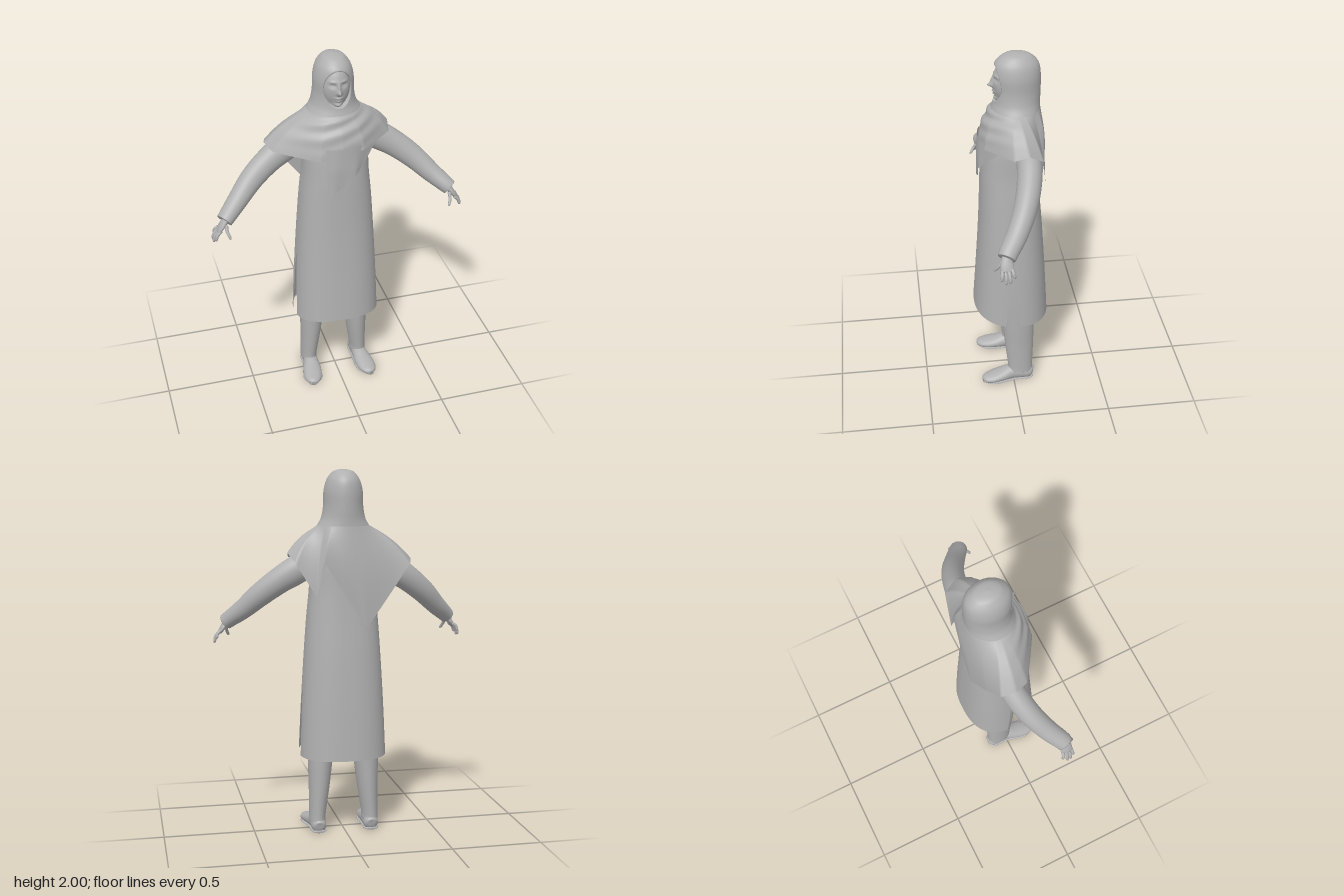
import * as THREE from 'three';
import { mergeVertices } from 'three/addons/utils/BufferGeometryUtils.js';

const grey = new THREE.MeshStandardMaterial({ color: 0xb0b0b0, side: THREE.DoubleSide });
grey.name = 'plainGrey';

// Smooth spline through rows of numbers, t in 0..1
function spline(rows, t) {
  const n = rows.length - 1, s = Math.min(t, 1) * n, i = Math.min(Math.floor(s), n - 1), f = s - i;
  const a = rows[Math.max(i - 1, 0)], b = rows[i], c = rows[i + 1], d = rows[Math.min(i + 2, n)];
  return b.map((_, k) => b[k] + 0.5 * f * (c[k] - a[k] + f * (2 * a[k] - 5 * b[k] + 4 * c[k] - d[k]
    + f * (3 * (b[k] - c[k]) + d[k] - a[k]))));
}

// Grid surface from fn(u, v) -> [x, y, z]; faces along du x dv
function surface(nu, nv, fn) {
  const pos = [], idx = [];
  for (let j = 0; j <= nv; j++) for (let i = 0; i <= nu; i++) pos.push(...fn(i / nu, j / nv));
  for (let j = 0; j < nv; j++) for (let i = 0; i < nu; i++) {
    const a = j * (nu + 1) + i, c = a + nu + 1;
    idx.push(a, a + 1, c, a + 1, c + 1, c);
  }
  let g = new THREE.BufferGeometry();
  g.setAttribute('position', new THREE.Float32BufferAttribute(pos, 3));
  g.setIndex(idx);
  g = mergeVertices(g, 1e-5);
  g.computeVertexNormals();
  return g;
}

// Closed tube through [x, y, z, radiusAlongRef, radiusAcross]
function loft(rows, ref, nu = 24, nv = 24, side = 1, floor = -1) {
  const at = (t) => { const r = spline(rows, t); return new THREE.Vector3(r[0] * side, r[1], r[2]); };
  return surface(nu, nv + 2, (u, v) => {
    const j = Math.round(v * (nv + 2)) - 1;
    const t = Math.min(Math.max(j / nv, 0), 1), open = j < 0 || j > nv ? 0 : 1;
    const c = at(t), r = spline(rows, t), a = u === 1 ? 0 : u * Math.PI * 2;
    const T = at(Math.min(t + 0.01, 1)).sub(at(Math.max(t - 0.01, 0))).normalize();
    const A = ref.clone().addScaledVector(T, -ref.dot(T)).normalize();
    const B = new THREE.Vector3().crossVectors(T, A);
    c.addScaledVector(A, Math.cos(a) * r[3] * open).addScaledVector(B, Math.sin(a) * r[4] * open);
    return [c.x, Math.max(c.y, floor), c.z];
  });
}

// Point on a rounded-square ring with separate front and back depth
function ring(a, w, f, b, p) {
  const c = Math.cos(a), s = Math.sin(a);
  return [Math.sign(c) * Math.abs(c) ** p * w, (s > 0 ? f : b) * Math.abs(s) ** p];
}

const X = new THREE.Vector3(1, 0, 0), Z = new THREE.Vector3(0, 0, 1);

// Rows: height, half width, front z, back z
const TUNIC = [
  [1.66, 0.08, 0.07, -0.1], [1.6, 0.15, 0.11, -0.125], [1.5, 0.172, 0.145, -0.14],
  [1.35, 0.18, 0.161, -0.145], [1.2, 0.195, 0.167, -0.155], [1.0, 0.21, 0.175, -0.172],
  [0.7, 0.228, 0.193, -0.192], [0.43, 0.24, 0.21, -0.207],
];
const HOOD = [
  [2, 0, 0, 0], [1.993, 0.04, 0.045, -0.05], [1.978, 0.064, 0.078, -0.085], [1.94, 0.09, 0.112, -0.117],
  [1.88, 0.105, 0.122, -0.128], [1.8, 0.108, 0.115, -0.128], [1.74, 0.12, 0.118, -0.126], [1.7, 0.142, 0.13, -0.126],
];
// Shawl hem: angle in degrees, x, y, z
const HEM = [
  [0, 0.31, 1.56, -0.06], [15, 0.295, 1.53, 0.015], [35, 0.22, 1.525, 0.075], [60, 0.12, 1.515, 0.15],
  [90, 0, 1.495, 0.17], [120, -0.12, 1.48, 0.16], [148, -0.24, 1.49, 0.085], [167, -0.34, 1.5, 0.018],
  [180, -0.37, 1.52, -0.06], [192, -0.35, 1.5, -0.135], [225, -0.24, 1.35, -0.165], [260, -0.1, 1.16, -0.187],
  [285, 0.02, 1.34, -0.18], [305, 0.12, 1.5, -0.165], [322.5, 0.17, 1.33, -0.165], [345, 0.28, 1.51, -0.14],
  [360, 0.31, 1.56, -0.06],
];

function tunicPanel(front) {
  return surface(64, 60, (u, v) => {
    let [y, w, f, b] = spline(TUNIC, v);
    const gap = Math.max(0, 0.82 - y) / 0.39 * (front ? 0.19 : 0.08);
    const a = (front ? 0 : Math.PI) + gap + u * (Math.PI - 2 * gap);
    const [x, z] = ring(a, w, f, b, 0.82);
    if (front) y += 0.04 * Math.sin(a) * Math.max(0, (0.8 - y) / 0.37);
    return [x, y, z];
  });
}

// Head covering with a sunken oval around the face
function hood() {
  return surface(160, 70, (u, v) => {
    const [y, w, f, b] = spline(HOOD, v);
    let [x, z] = ring(u === 1 ? 0 : u * Math.PI * 2, w, f, b, 1);
    z -= 0.03;
    const e = (x / 0.073) ** 2 + ((y - 1.84) / 0.1) ** 2;
    if (z > 0 && e < 1) z -= 0.07 * Math.min(1, (1 - e) * 3);
    return [x, y, z];
  });
}

// Draped cloth from the neck to the pointed hem
function shawl() {
  const [ny, w, f, b] = HOOD[HOOD.length - 1];
  return surface(192, 30, (u, v) => {
    const deg = u * 360, a = u === 1 ? 0 : u * Math.PI * 2;
    let k = 0;
    while (k < HEM.length - 2 && deg > HEM[k + 1][0]) k++;
    const p = HEM[k], q = HEM[k + 1], m = (deg - p[0]) / (q[0] - p[0]);
    const h = [1, 2, 3].map((i) => THREE.MathUtils.lerp(p[i], q[i], m));
    const [x, z] = ring(a, w, f, b, 1);
    const s = Math.sin(a), front = Math.max(0, s);
    const puff = Math.sin(Math.PI * v) * 0.014
      + front * 0.007 * Math.sin(v * 17 + Math.cos(a) * 3) * (1 - v) * Math.min(1, v * 6);
    return [
      THREE.MathUtils.lerp(x, h[0], v) + Math.cos(a) * puff,
      THREE.MathUtils.lerp(ny, h[1], v) + puff * 0.6,
      THREE.MathUtils.lerp(z - 0.03, h[2], v) + s * puff,
    ];
  });
}

// Loose pointed end hanging on the chest
function shawlEnd() {
  const edge = [[-0.08, 1.25], [-0.03, 1.3], [0.05, 1.365], [0.1, 1.41], [0.2, 1.52]];
  return surface(30, 16, (u, v) => {
    const [ex, ey] = spline(edge, u);
    const x = THREE.MathUtils.lerp(-0.09 + 0.29 * u, ex, v);
    const y = THREE.MathUtils.lerp(1.545, ey, v);
    return [x, y, 0.182 - 2.4 * x * x + 0.004 * Math.sin(u * 14) * v - 0.06 * Math.max(0, y - 1.42)];
  });
}

function face() {
  const bump = (x, y, cx, cy, sx, sy) => Math.exp(-(((x - cx) / sx) ** 2) - ((y - cy) / sy) ** 2);
  return surface(96, 80, (u, v) => {
    const a = u === 1 ? 0 : u * Math.PI * 2, t = v * Math.PI;
    const x = 0.076 * Math.sin(t) * Math.cos(a), y = 1.84 + 0.122 * Math.cos(t);
    let z = 0.01 + 0.08 * Math.sin(t) * Math.sin(a);
    if (z > 0.01) {
      z += 0.025 * bump(x, y, 0, 1.826, 0.011, 0.013) + 0.013 * bump(x, y, 0, 1.852, 0.008, 0.025);
      z += 0.011 * bump(x, y, 0, 1.793, 0.02, 0.006) + 0.011 * bump(x, y, 0, 1.778, 0.017, 0.006);
      z += 0.022 * bump(x, y, 0, 1.75, 0.026, 0.016);
      for (const s of [-1, 1]) {
        z -= 0.012 * bump(x, y, s * 0.03, 1.862, 0.016, 0.01);
        z += 0.006 * bump(x, y, s * 0.03, 1.86, 0.01, 0.005) + 0.005 * bump(x, y, s * 0.03, 1.884, 0.02, 0.006);
      }
    }
    return [x, y, z];
  });
}

export function createModel() {
  const group = new THREE.Group();
  group.name = 'womanInHeadscarf';
  const add = (name, geo) => {
    const m = new THREE.Mesh(geo, grey);
    m.name = name;
    group.add(m);
  };

  add('face', face());
  add('hood', hood());
  add('shawl', shawl());
  add('shawlEnd', shawlEnd());
  add('tunicFront', tunicPanel(true));
  add('tunicBack', tunicPanel(false));

  const FINGERS = [
    [0.652, 1.125, 0.122, 0.684, 1.076, 0.127], [0.662, 1.12, 0.106, 0.694, 1.06, 0.107],
    [0.664, 1.122, 0.09, 0.696, 1.066, 0.086], [0.658, 1.13, 0.074, 0.685, 1.09, 0.064],
    [0.622, 1.155, 0.118, 0.61, 1.092, 0.155],
  ];
  for (const [side, label] of [[1, 'left'], [-1, 'right']]) {
    // Sleeve, hand and fingers
    add(label + 'Sleeve', loft([
      [0.15, 1.53, -0.065, 0.06, 0.06], [0.25, 1.475, -0.068, 0.066, 0.077], [0.35, 1.413, -0.052, 0.064, 0.071],
      [0.45, 1.335, -0.018, 0.06, 0.064], [0.54, 1.25, 0.035, 0.055, 0.054], [0.605, 1.195, 0.083, 0.05, 0.046],
      [0.628, 1.175, 0.098, 0.047, 0.043],
    ], Z, 32, 40, side));
    add(label + 'Palm', loft([
      [0.605, 1.2, 0.085, 0.026, 0.02], [0.628, 1.168, 0.097, 0.028, 0.018],
      [0.648, 1.14, 0.098, 0.034, 0.015], [0.664, 1.117, 0.098, 0.03, 0.01],
    ], Z, 20, 14, side));
    FINGERS.forEach(([ax, ay, az, bx, by, bz], i) => add(label + (i < 4 ? 'Finger' + (i + 1) : 'Thumb'), loft([
      [ax, ay, az, 0.0095, 0.0095], [(ax + bx) / 2 + 0.006, (ay + by) / 2 + 0.003, (az + bz) / 2, 0.009, 0.009],
      [bx - (bx - ax) * 0.1, by - (by - ay) * 0.1, bz, 0.0075, 0.0075], [bx, by, bz, 0.003, 0.003],
    ], Z, 10, 10, side)));

    // Trouser leg and shoe
    add(label + 'TrouserLeg', loft([
      [0.15, 0.058, -0.04, 0.046, 0.073], [0.149, 0.1, -0.04, 0.046, 0.071], [0.138, 0.25, -0.035, 0.057, 0.082],
      [0.13, 0.4, -0.03, 0.068, 0.09], [0.115, 0.62, -0.02, 0.082, 0.1], [0.1, 0.9, 0, 0.085, 0.1],
    ], X, 32, 30, side));
    add(label + 'Shoe', loft([
      [0.148, 0.034, -0.112, 0.02, 0.025], [0.148, 0.038, -0.09, 0.04, 0.042], [0.15, 0.042, 0, 0.042, 0.046],
      [0.157, 0.033, 0.07, 0.052, 0.034], [0.167, 0.024, 0.13, 0.05, 0.026], [0.174, 0.02, 0.168, 0.034, 0.02],
      [0.177, 0.018, 0.182, 0.014, 0.01],
    ], X, 32, 30, side, 0.004));
    add(label + 'Sole', loft([
      [0.148, 0.007, -0.112, 0.022, 0.007], [0.148, 0.007, -0.09, 0.042, 0.007], [0.15, 0.007, 0, 0.043, 0.007],
      [0.157, 0.007, 0.07, 0.054, 0.007], [0.167, 0.007, 0.13, 0.052, 0.007], [0.177, 0.007, 0.18, 0.016, 0.007],
    ], X, 16, 24, side));
  }
  return group;
}
